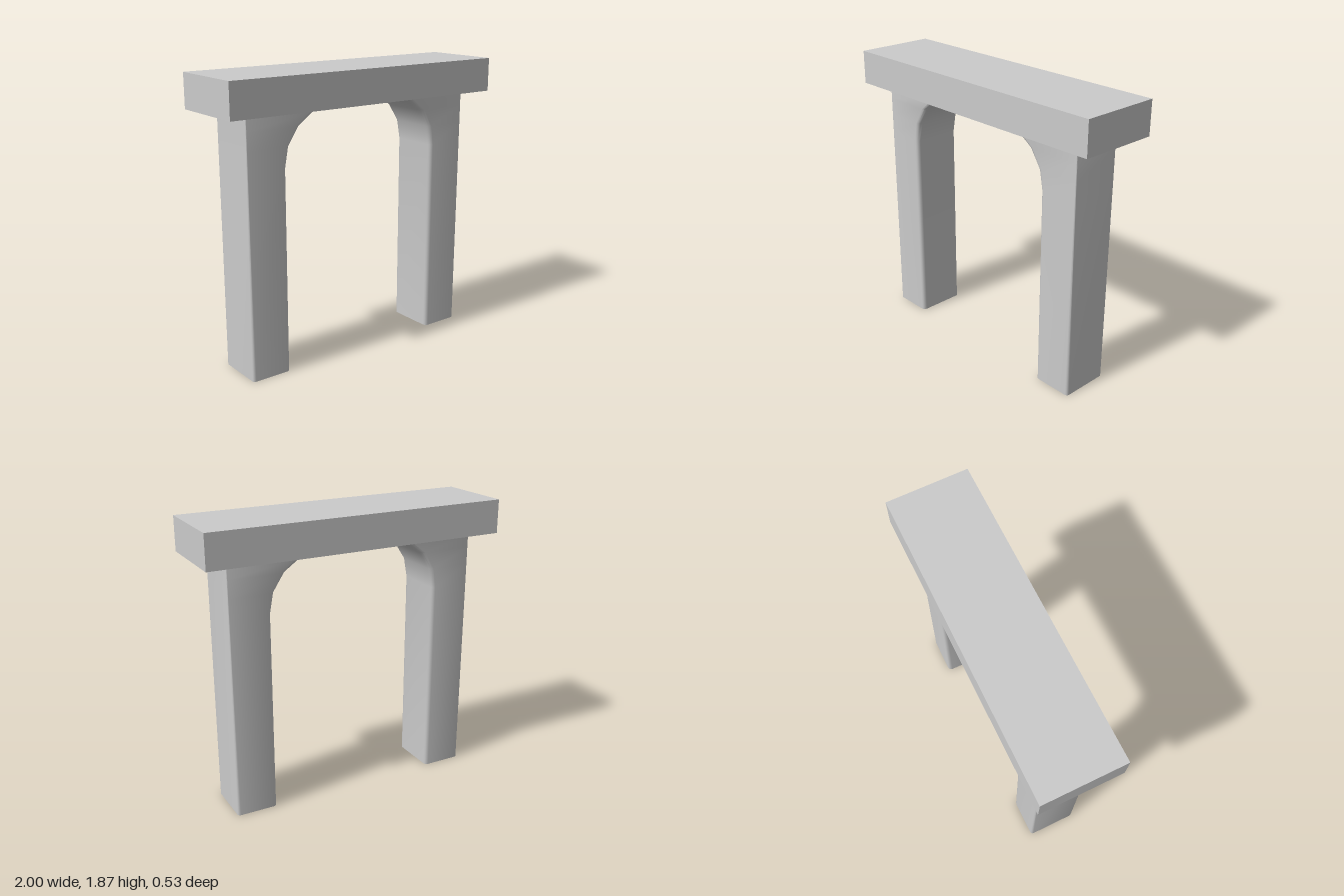
import * as THREE from 'three';
import { toCreasedNormals } from 'three/addons/utils/BufferGeometryUtils.js';

const SEGS = 3; // segments per rounded corner
const OUTER = 0.845;

// Height, inner x, inner half depth, inner corner radius, outer corner radius
const LEVELS = [
  [0, 0.575, 0.165, 0.025, 0.018],
  [1.31, 0.575, 0.166, 0.025, 0.006],
  [1.44, 0.55, 0.168, 0.03, 0.005],
  [1.555, 0.475, 0.171, 0.035, 0.004],
  [1.63, 0.365, 0.174, 0.045, 0.003],
  [1.65, 0.22, 0.175, 0.06, 0.002],
];

// Rounded rectangular section of a leg at one level
function section([y, inner, depth, rIn, rOut]) {
  const corners = [
    [inner + rIn, depth - rIn, rIn, Math.PI],
    [OUTER - rOut, 0.165 - rOut, rOut, Math.PI / 2],
    [OUTER - rOut, rOut - 0.165, rOut, 0],
    [inner + rIn, rIn - depth, rIn, -Math.PI / 2],
  ];
  return corners.flatMap(([cx, cz, r, start]) =>
    Array.from({ length: SEGS + 1 }, (_, i) => {
      const a = start - (i / SEGS) * Math.PI / 2;
      return [cx + r * Math.cos(a), y, cz + r * Math.sin(a)];
    }));
}

// Open shell lofted through the sections
function legGeometry() {
  const rings = LEVELS.map(section);
  const n = rings[0].length;
  const index = [];
  for (let j = 0; j < rings.length - 1; j++) {
    for (let i = 0; i < n; i++) {
      const a = j * n + i, b = j * n + (i + 1) % n;
      index.push(a, b, b + n, a, b + n, a + n);
    }
  }
  const geo = new THREE.BufferGeometry();
  geo.setAttribute('position', new THREE.Float32BufferAttribute(rings.flat(2), 3));
  geo.setIndex(index);
  return toCreasedNormals(geo, 0.7);
}

export function createModel() {
  const group = new THREE.Group();
  const material = new THREE.MeshStandardMaterial({ color: 0xcccccc });
  const shellMaterial = new THREE.MeshStandardMaterial({ color: 0xcccccc, side: THREE.DoubleSide });

  // Flat slab across the top
  const slab = new THREE.Mesh(new THREE.BoxGeometry(2, 0.22, 0.53), material);
  slab.name = 'topSlab';
  slab.position.y = 1.76;
  group.add(slab);

  // Two hollow legs flaring into the arch
  const geo = legGeometry();
  for (const [name, turn] of [['leftLeg', 0], ['rightLeg', Math.PI]]) {
    const leg = new THREE.Mesh(geo, shellMaterial);
    leg.name = name;
    leg.rotation.y = turn;
    group.add(leg);
  }
  return group;
}
